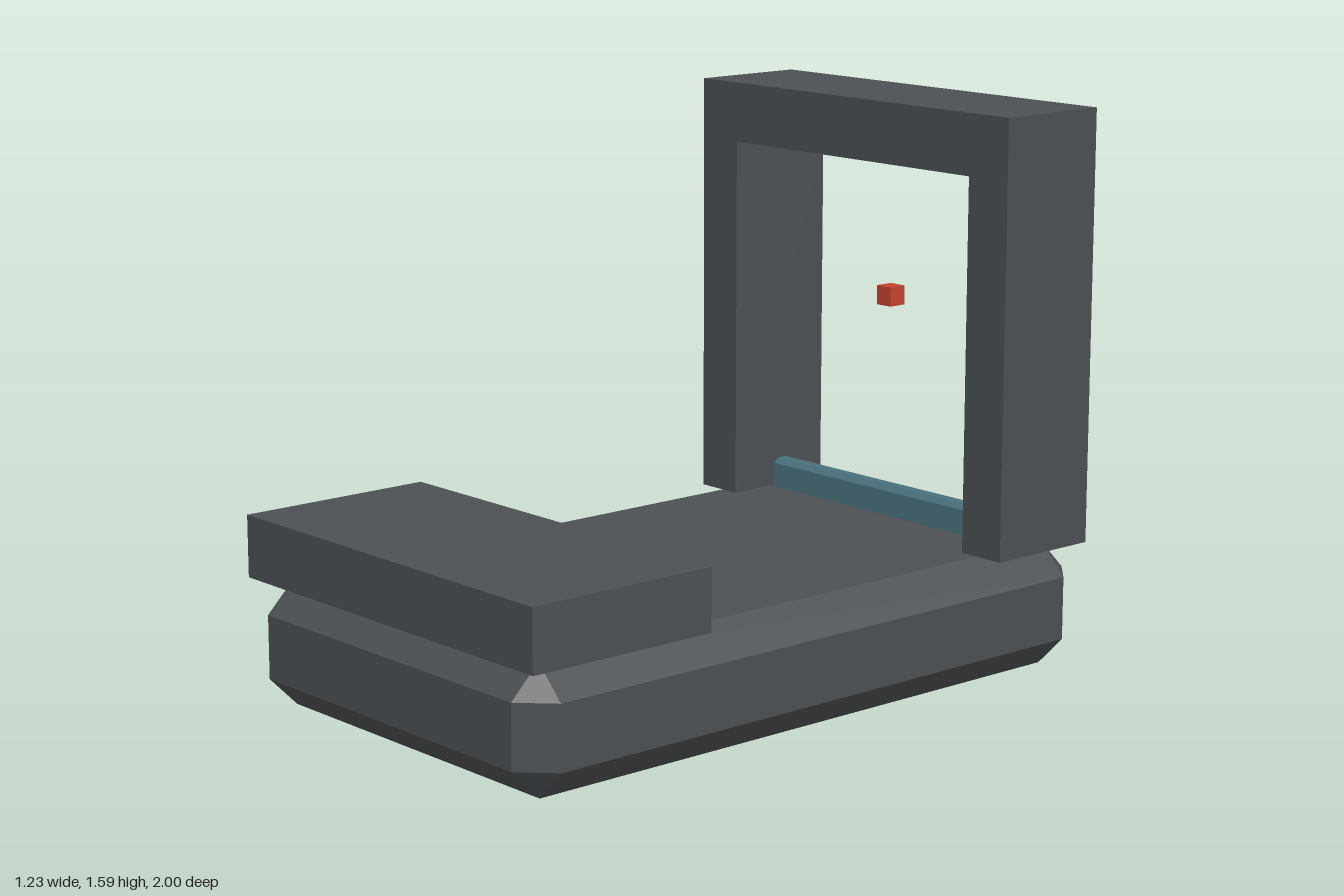
import * as THREE from 'three';
import { ConvexGeometry } from 'three/addons/geometries/ConvexGeometry.js';

const charcoal = new THREE.MeshStandardMaterial({ name: 'charcoal', color: 0x4c5053 });
const teal = new THREE.MeshStandardMaterial({ name: 'teal', color: 0x4a717c });
const red = new THREE.MeshStandardMaterial({ name: 'red', color: 0xc2432f });

// Box with every edge bevelled by c: each corner becomes three points
function bevelledBox(w, h, d, c) {
  const points = [];
  for (const x of [-w / 2, w / 2])
    for (const y of [-h / 2, h / 2])
      for (const z of [-d / 2, d / 2]) {
        const ix = x - Math.sign(x) * c, iy = y - Math.sign(y) * c, iz = z - Math.sign(z) * c;
        points.push(
          new THREE.Vector3(x, iy, iz),
          new THREE.Vector3(ix, y, iz),
          new THREE.Vector3(ix, iy, z)
        );
      }
  return new ConvexGeometry(points);
}

export function createModel() {
  const model = new THREE.Group();
  const add = (name, geometry, material, x, y, z) => {
    const mesh = new THREE.Mesh(geometry, material);
    mesh.name = name;
    mesh.position.set(x, y, z);
    model.add(mesh);
  };

  const halfWidth = 0.617, deck = 0.356;

  // Bevelled base and the raised slab at its front
  add('base', bevelledBox(halfWidth * 2, deck, 2, 0.088), charcoal, 0, deck / 2, 0);
  add('frontSlab', new THREE.BoxGeometry(halfWidth * 2, 0.175, 0.585), charcoal, 0, deck + 0.0875, 0.7075);

  // Upright arch at the back, open at the bottom
  const inner = 0.472, archTop = 1.59, lintel = 1.416;
  const arch = new THREE.Shape([
    [-halfWidth, deck], [-inner, deck], [-inner, lintel], [inner, lintel],
    [inner, deck], [halfWidth, deck], [halfWidth, archTop], [-halfWidth, archTop],
  ].map(([x, y]) => new THREE.Vector2(x, y)));
  add('arch', new THREE.ExtrudeGeometry(arch, { depth: 0.35, bevelEnabled: false }), charcoal, 0, 0, -1);

  // Sill bar between the legs, sunk into the deck
  add('sillBar', bevelledBox(inner * 2, 0.175, 0.06, 0.015), teal, 0, deck, -0.825);

  // Small cube floating in the opening
  add('floatingCube', new THREE.BoxGeometry(0.056, 0.056, 0.056), red, 0, 1.003, -0.825);

  return model;
}
